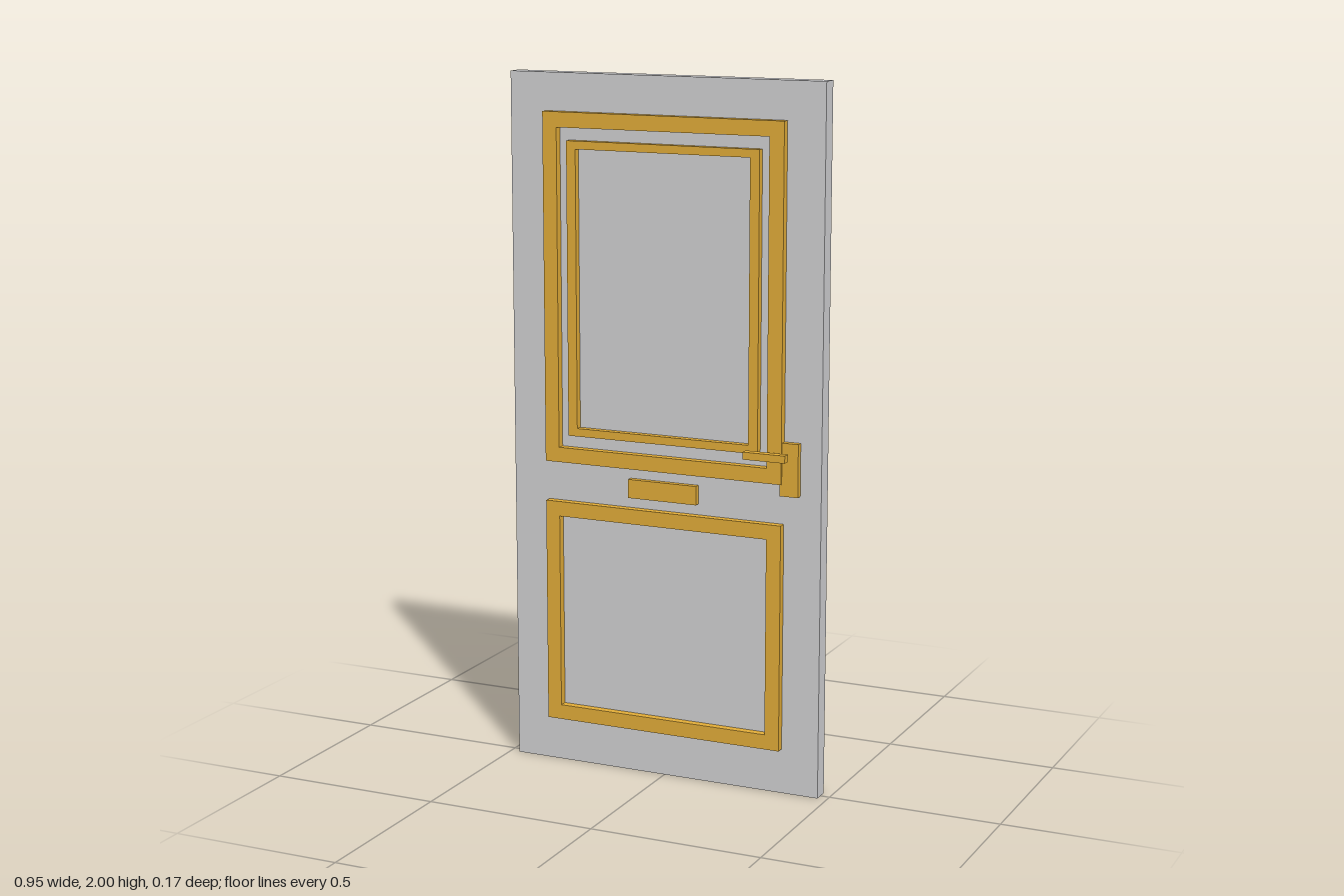
import * as THREE from 'three';

const SLAB = 0.024; // half thickness of the door leaf

export function createModel() {
  const group = new THREE.Group();
  group.name = 'door';

  const grey = new THREE.MeshStandardMaterial({ color: 0xd3d3d5 });
  grey.name = 'light grey panel';
  const gold = new THREE.MeshStandardMaterial({ color: 0xe4ae39 });
  gold.name = 'golden trim';

  // Box given by its extents
  function box(parent, name, material, x0, x1, y0, y1, z0, z1) {
    const mesh = new THREE.Mesh(new THREE.BoxGeometry(x1 - x0, y1 - y0, z1 - z0), material);
    mesh.position.set((x0 + x1) / 2, (y0 + y1) / 2, (z0 + z1) / 2);
    mesh.name = name;
    parent.add(mesh);
  }

  const rectangle = (Type, w, y0, y1) => new Type([
    new THREE.Vector2(-w, y0), new THREE.Vector2(w, y0),
    new THREE.Vector2(w, y1), new THREE.Vector2(-w, y1),
  ]);

  // Rectangular moulding, symmetric in x, raised from the leaf on one side
  function frame(name, side, halfWidth, y0, y1, bar, barY, top) {
    const shape = rectangle(THREE.Shape, halfWidth, y0, y1);
    shape.holes.push(rectangle(THREE.Path, halfWidth - bar, y0 + barY, y1 - barY));
    const geometry = new THREE.ExtrudeGeometry(shape, { depth: top - SLAB, bevelEnabled: false });
    geometry.translate(0, 0, side > 0 ? SLAB : -top);
    const mesh = new THREE.Mesh(geometry, gold);
    mesh.name = name;
    group.add(mesh);
  }

  // Plate between two distances from the leaf centre, on one side
  function plate(name, side, x0, x1, y0, y1, near, far) {
    box(group, name, gold, x0, x1, y0, y1, side > 0 ? near : -far, side > 0 ? far : -near);
  }

  box(group, 'leaf', grey, -0.473, 0.473, 0, 2, -SLAB, SLAB);

  // The same trim and fittings on both faces
  for (const [side, label] of [[1, 'front'], [-1, 'back']]) {
    frame(label + 'UpperFrame', side, 0.363, 0.898, 1.893, 0.043, 0.043, 0.047);
    frame(label + 'InnerFrame', side, 0.291, 0.977, 1.814, 0.028, 0.023, 0.044);
    frame(label + 'LowerFrame', side, 0.363, 0.13, 0.782, 0.043, 0.043, 0.047);
    plate(label + 'LetterPlate', side, -0.105, 0.105, 0.813, 0.867, SLAB, 0.041);
    plate(label + 'LockPlate', side, 0.357, 0.411, 0.865, 1.015, SLAB, 0.042);
    plate(label + 'Handle', side, 0.263, 0.388, 0.968, 0.989, 0.06, 0.083);
  }
  return group;
}
